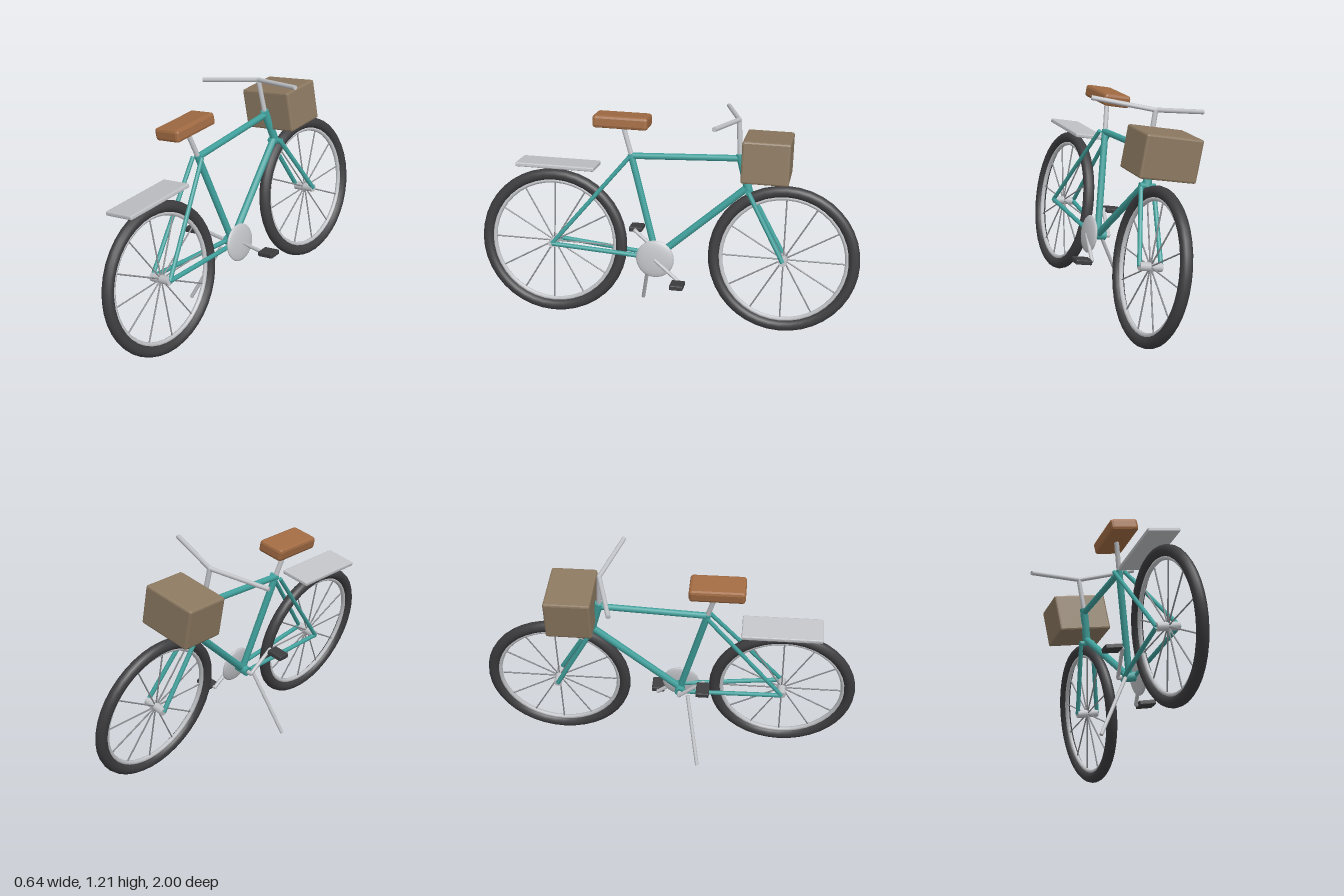
import * as THREE from 'three';
import { RoundedBoxGeometry } from 'three/addons/geometries/RoundedBoxGeometry.js';

const paint = (name, color) => {
  const m = new THREE.MeshStandardMaterial({ color });
  m.name = name;
  return m;
};

export function createModel() {
  const teal = paint('teal frame paint', 0x3fa09c);
  const silver = paint('silver metal', 0xc0c2c6);
  const steel = paint('spoke steel', 0x8e9094);
  const rubber = paint('dark rubber', 0x3d3d40);
  const leather = paint('saddle leather', 0xa06a42);
  const wicker = paint('basket wicker', 0x8b7860);

  const model = new THREE.Group();
  model.name = 'bicycle';
  // The whole bicycle leans sideways onto its kickstand; it travels toward -z
  const bike = new THREE.Group();
  bike.name = 'leaningBicycle';
  bike.rotation.z = 0.2;
  bike.position.set(0.2, 0.043, 0);
  model.add(bike);

  const add = (name, geometry, material, pos = [0, 0, 0], parent = bike) => {
    const mesh = new THREE.Mesh(geometry, material);
    mesh.name = name;
    mesh.position.set(...pos);
    parent.add(mesh);
    return mesh;
  };

  // Round bar between two points
  const bar = (name, a, b, r, material, parent = bike, sides = 12) => {
    const from = new THREE.Vector3(...a), to = new THREE.Vector3(...b);
    const dir = to.clone().sub(from);
    const mesh = add(name, new THREE.CylinderGeometry(r, r, dir.length(), sides), material,
      from.clone().add(to).multiplyScalar(0.5).toArray(), parent);
    mesh.quaternion.setFromUnitVectors(new THREE.Vector3(0, 1, 0), dir.normalize());
    return mesh;
  };

  // Box with flat chamfered edges
  const block = (name, size, chamfer, material, pos) => {
    const g = new RoundedBoxGeometry(...size, 1, chamfer);
    g.computeVertexNormals();
    return add(name, g, material, pos);
  };

  // Wheels
  const axleY = 0.39, axleZ = 0.606;
  const wheel = (name, z) => {
    const w = new THREE.Group();
    w.name = name;
    w.position.set(0, axleY, z);
    bike.add(w);
    const tire = add('tire', new THREE.TorusGeometry(0.362, 0.03, 12, 40), rubber, [0, 0, 0], w);
    const rim = add('rim', new THREE.TorusGeometry(0.328, 0.012, 8, 40), silver, [0, 0, 0], w);
    tire.rotation.y = rim.rotation.y = Math.PI / 2;
    bar('hub', [-0.06, 0, 0], [0.06, 0, 0], 0.022, silver, w);
    for (let i = 0; i < 12; i++) {
      const a = (i / 12) * Math.PI * 2;
      bar('spoke', [0, 0, 0], [0, Math.sin(a) * 0.325, Math.cos(a) * 0.325], 0.004, steel, w, 6);
    }
  };
  wheel('frontWheel', -axleZ);
  wheel('rearWheel', axleZ);

  // Frame
  const bottom = [0, 0.35, 0.056];
  const seatTop = [0, 0.89, 0.206];
  const headTop = [0, 0.93, -0.355];
  const headLow = [0, 0.735, -0.41];
  bar('seatTube', bottom, seatTop, 0.018, teal);
  bar('topTube', [0, 0.88, 0.206], [0, 0.908, -0.36], 0.017, teal);
  bar('downTube', bottom, [0, 0.76, -0.403], 0.019, teal);
  bar('headTube', headTop, headLow, 0.022, teal);
  bar('forkCrown', [-0.042, 0.74, -0.41], [0.042, 0.74, -0.41], 0.015, teal);
  bar('bottomBracket', [-0.042, 0.35, 0.056], [0.042, 0.35, 0.056], 0.026, teal);
  for (const s of [-1, 1]) {
    bar('seatStay', [s * 0.03, 0.88, 0.208], [s * 0.06, axleY, axleZ], 0.011, teal);
    bar('chainStay', [s * 0.032, 0.35, 0.066], [s * 0.06, axleY, axleZ], 0.012, teal);
    bar('forkLeg', [s * 0.034, 0.74, -0.41], [s * 0.058, axleY, -axleZ], 0.012, teal);
  }

  // Saddle and seat post
  bar('seatPost', seatTop, [0, 1.05, 0.255], 0.013, silver);
  block('saddle', [0.15, 0.065, 0.285], 0.015, leather, [0, 1.062, 0.255]);

  // Stem and handlebar
  bar('stem', headTop, [0, 1.108, -0.343], 0.013, silver);
  add('handlebarJoint', new THREE.SphereGeometry(0.013, 12, 8), silver, [0, 1.106, -0.343]);
  for (const s of [-1, 1])
    bar('handlebar', [0, 1.106, -0.343], [s * 0.308, 1.114, -0.255], 0.012, silver);

  // Basket and rear rack
  block('basket', [0.302, 0.215, 0.24], 0.01, wicker, [0, 0.922, -0.497]);
  block('rearRack', [0.17, 0.022, 0.415], 0.006, silver, [0, 0.811, 0.59]);

  // Chainring, cranks and pedals
  const ring = add('chainring', new THREE.SphereGeometry(0.1, 28, 16), silver, [0.05, 0.35, 0.056]);
  ring.scale.x = 0.2;
  bar('crankAxle', [-0.068, 0.35, 0.056], [0.068, 0.35, 0.056], 0.012, silver);
  for (const s of [-1, 1]) {
    const y = 0.35 - s * 0.11, z = 0.056 - s * 0.132;
    bar('crankArm', [s * 0.064, 0.35, 0.056], [s * 0.064, y, z], 0.01, silver);
    bar('pedalAxle', [s * 0.06, y, z], [s * 0.09, y, z], 0.008, silver);
    block('pedal', [0.092, 0.026, 0.07], 0.005, rubber, [s * 0.121, y, z]);
  }

  // Kickstand
  bar('kickstand', [-0.042, 0.33, 0.1], [-0.264, 0.016, 0.168], 0.01, silver);

  return model;
}
